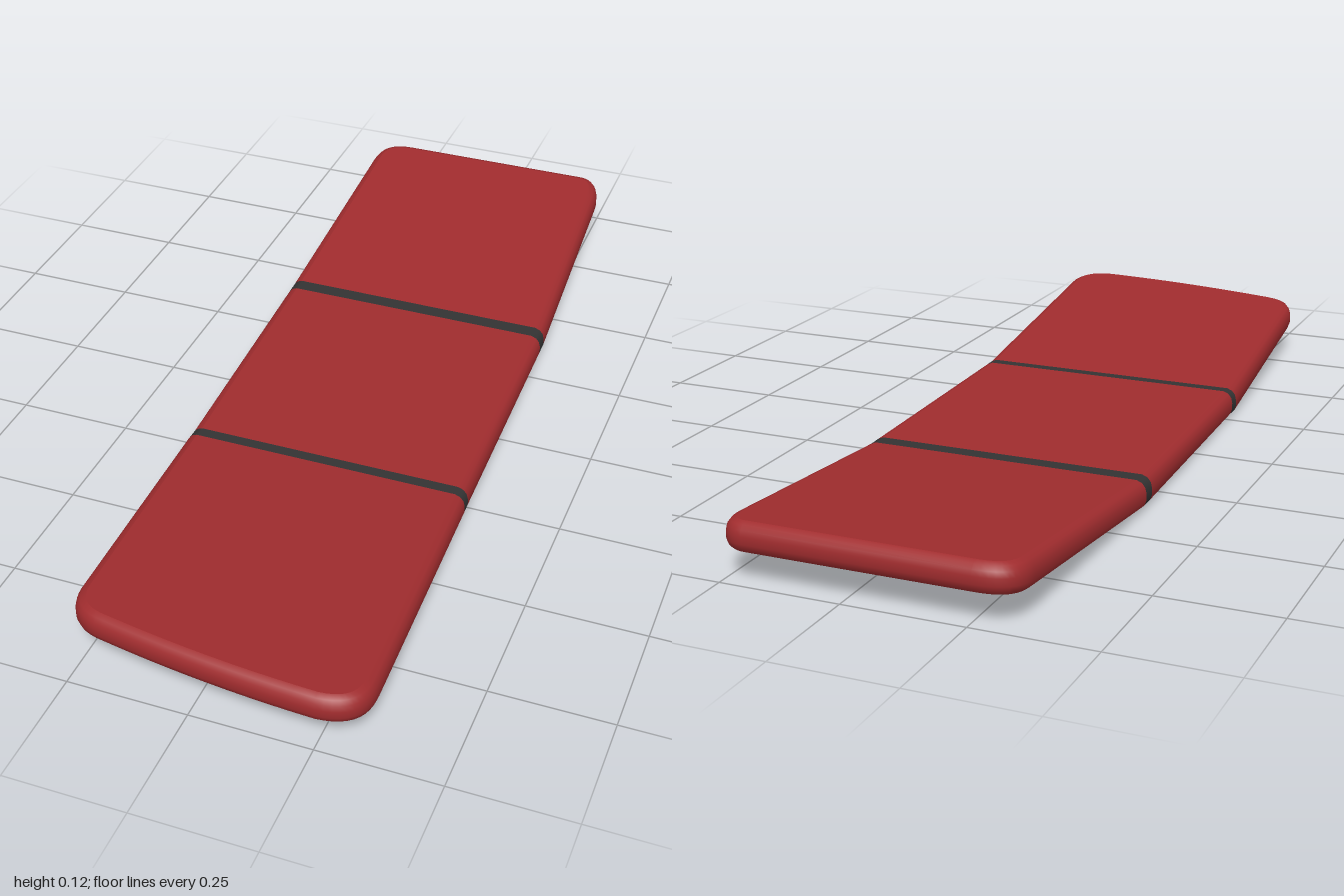
import * as THREE from 'three';
import { mergeGeometries, toCreasedNormals } from 'three/addons/utils/BufferGeometryUtils.js';

// Seam positions along z; the board folds upward beyond the outer two
const F1 = 0.29, F0 = 0.265, B0 = -0.325, B1 = -0.36;

// Rounded edge profile, bottom to top: [inset from outline, height]
const PROFILE = [
  [0.022, 0], [0.012, 0.003], [0.004, 0.01], [0, 0.021],
  [0, 0.036], [0.003, 0.048], [0.01, 0.057], [0.022, 0.062],
];

// Plan outline as (x, z): +x side to the front, round the nose, -x side to the back
function makeOutline() {
  const p = new THREE.Path();
  p.moveTo(0.262, -0.9);
  p.lineTo(0.288, B1).lineTo(0.289, B0).lineTo(0.304, F0).lineTo(0.305, F1);
  p.lineTo(0.34, 0.9);
  p.quadraticCurveTo(0.343, 0.99, 0.25, 0.995);
  p.quadraticCurveTo(0.03, 0.987, -0.2, 0.942);
  p.quadraticCurveTo(-0.283, 0.93, -0.29, 0.85);
  p.lineTo(-0.326, F1).lineTo(-0.325, F0).lineTo(-0.344, B0).lineTo(-0.345, B1);
  p.lineTo(-0.345, -0.92);
  p.quadraticCurveTo(-0.345, -1, -0.26, -1);
  p.lineTo(0.2, -1);
  p.quadraticCurveTo(0.26, -1, 0.262, -0.9);
  const pts = p.getPoints(10);
  pts.pop();
  return pts;
}

const bend = z => (z > F1 ? (z - F1) * 0.087 : z < B1 ? (B1 - z) * 0.096 : 0);

// One inset copy of the outline for each profile point
function makeRings() {
  const o = makeOutline(), n = o.length;
  return PROFILE.map(([inset, y]) => o.map((pt, i) => {
    const t = o[(i + 1) % n].clone().sub(o[(i + n - 1) % n]);
    // side points move straight inward so that the seams stay straight
    const normal = Math.abs(pt.y) < 0.4
      ? new THREE.Vector2(Math.sign(pt.x), 0)
      : new THREE.Vector2(t.y, -t.x).normalize();
    const q = pt.clone().addScaledVector(normal, -inset);
    return new THREE.Vector3(q.x, y + bend(q.y), q.y);
  }));
}

function geometryFrom(triangles) {
  const g = new THREE.BufferGeometry().setFromPoints(triangles);
  g.computeVertexNormals();
  return g;
}

// Flat face over the part of a ring lying between two z values
function cap(ring, inside, up) {
  const loop = ring.filter((_, i) => inside(i));
  const tris = [];
  for (let k = 1; k < loop.length - 1; k++) {
    tris.push(loop[0], loop[up ? k + 1 : k], loop[up ? k : k + 1]);
  }
  return geometryFrom(tris);
}

// Rounded rim between two z values
function rim(rings, inside) {
  const n = rings[0].length, tris = [];
  for (let r = 0; r < rings.length - 1; r++) {
    for (let i = 0; i < n; i++) {
      const j = (i + 1) % n;
      if (!inside(i) || !inside(j)) continue;
      const a = rings[r][i], b = rings[r][j], c = rings[r + 1][j], d = rings[r + 1][i];
      tris.push(a, d, c, a, c, b);
    }
  }
  return toCreasedNormals(geometryFrom(tris), 0.8);
}

export function createModel() {
  const model = new THREE.Group();
  model.name = 'foldedBoard';
  const material = color => new THREE.MeshStandardMaterial({ color });
  const red = material(0xa02c2e), seam = material(0x333333), grey = material(0x55554f);
  const rings = makeRings(), outline = rings[3];

  // name, z range, shell material, underside material
  const parts = [
    ['frontPanel', F1, 2, red, grey],
    ['frontSeam', F0, F1, seam, seam],
    ['middlePanel', B0, F0, red, grey],
    ['backSeam', B1, B0, seam, seam],
    ['backPanel', -2, B1, red, grey],
  ];
  for (const [name, z0, z1, shellMaterial, baseMaterial] of parts) {
    const inside = i => outline[i].z > z0 - 1e-5 && outline[i].z < z1 + 1e-5;
    const group = new THREE.Group();
    group.name = name;
    const shell = new THREE.Mesh(
      mergeGeometries([rim(rings, inside), cap(rings[rings.length - 1], inside, true)]),
      shellMaterial);
    shell.name = name + 'Shell';
    const base = new THREE.Mesh(cap(rings[0], inside, false), baseMaterial);
    base.name = name + 'Underside';
    group.add(shell, base);
    model.add(group);
  }
  return model;
}
